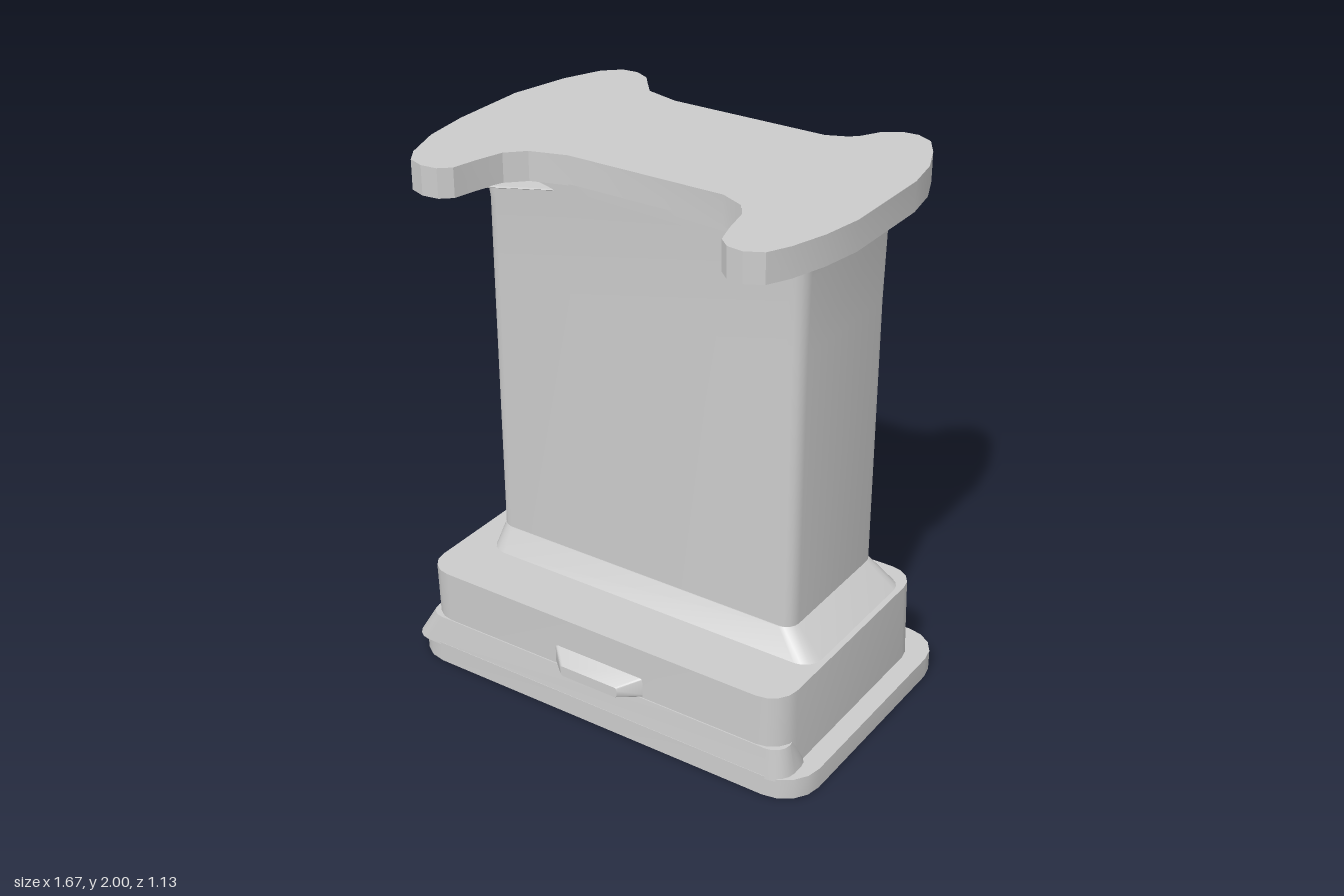
import * as THREE from 'three';
import { toCreasedNormals } from 'three/addons/utils/BufferGeometryUtils.js';

const CORNER_STEPS = 4;

// Rounded rectangle ring at height y, counter-clockwise seen from above
function ring({ y, x, z, r }) {
  const [x0, x1] = x, [z0, z1] = z;
  const corners = [
    [x1 - r, z1 - r, 3], [x1 - r, z0 + r, 0], [x0 + r, z0 + r, 1], [x0 + r, z1 - r, 2],
  ];
  const points = [];
  for (const [cx, cz, quarter] of corners) {
    for (let i = 0; i <= CORNER_STEPS; i++) {
      const a = (quarter + i / CORNER_STEPS) * Math.PI / 2;
      points.push([cx + r * Math.cos(a), y, cz - r * Math.sin(a)]);
    }
  }
  return points;
}

// Closed solid through a stack of rounded rectangles
function loft(sections) {
  const rings = sections.map(ring);
  const n = rings[0].length;
  const positions = rings.flat(2);
  const index = [];
  for (let s = 0; s < rings.length - 1; s++) {
    for (let i = 0; i < n; i++) {
      const a = s * n + i, b = s * n + (i + 1) % n;
      index.push(a, b, b + n, a, b + n, a + n);
    }
  }
  const top = (rings.length - 1) * n;
  for (let i = 1; i < n - 1; i++) {
    index.push(0, i + 1, i, top, top + i, top + i + 1);
  }
  const geometry = new THREE.BufferGeometry();
  geometry.setAttribute('position', new THREE.Float32BufferAttribute(positions, 3));
  geometry.setIndex(index);
  return toCreasedNormals(geometry, 0.45);
}

export function createModel() {
  const model = new THREE.Group();
  const material = new THREE.MeshStandardMaterial({ color: 0xcccccc });
  const add = (name, geometry) => {
    const mesh = new THREE.Mesh(geometry, material);
    mesh.name = name;
    model.add(mesh);
    return mesh;
  };

  // Floor plate
  add('basePlate', loft([
    { y: 0, x: [-0.84, 0.835], z: [-0.53, 0.515], r: 0.14 },
    { y: 0.08, x: [-0.84, 0.835], z: [-0.53, 0.515], r: 0.14 },
  ]));

  // Plinth box, with a flared foot along the front
  add('plinth', loft([
    { y: 0.07, x: [-0.755, 0.76], z: [-0.45, 0.5], r: 0.1 },
    { y: 0.39, x: [-0.76, 0.755], z: [-0.44, 0.505], r: 0.1 },
  ]));
  add('frontFlare', loft([
    { y: 0.07, x: [-0.835, 0.78], z: [0.33, 0.514], r: 0.07 },
    { y: 0.19, x: [-0.76, 0.757], z: [0.38, 0.506], r: 0.06 },
  ]));

  // Sloping skirt between plinth and column
  add('skirt', loft([
    { y: 0.385, x: [-0.65, 0.74], z: [-0.375, 0.28], r: 0.07 },
    { y: 0.475, x: [-0.63, 0.62], z: [-0.35, 0.225], r: 0.05 },
  ]));

  // Column, widening slightly under the top
  add('column', loft([
    { y: 0.46, x: [-0.63, 0.62], z: [-0.35, 0.222], r: 0.05 },
    { y: 1.5, x: [-0.63, 0.62], z: [-0.352, 0.225], r: 0.05 },
    { y: 1.77, x: [-0.63, 0.625], z: [-0.355, 0.225], r: 0.05 },
    { y: 1.86, x: [-0.64, 0.635], z: [-0.365, 0.23], r: 0.05 },
    { y: 1.9, x: [-0.65, 0.645], z: [-0.385, 0.23], r: 0.05 },
  ]));

  // Top plate with four rounded horns, outlined as x, z
  const outline = [
    [-0.78, 0.15], [-0.76, 0.33], [-0.71, 0.48], [-0.67, 0.54], [-0.61, 0.562],
    [-0.55, 0.555], [-0.51, 0.52], [-0.49, 0.43], [-0.46, 0.33], [-0.4, 0.27],
    [-0.27, 0.23], [0.33, 0.23], [0.42, 0.27], [0.46, 0.33], [0.485, 0.44],
    [0.51, 0.52], [0.55, 0.555], [0.61, 0.562], [0.67, 0.53], [0.71, 0.45],
    [0.75, 0.32], [0.775, 0.17], [0.775, -0.2], [0.75, -0.34], [0.7, -0.46],
    [0.65, -0.54], [0.59, -0.57], [0.53, -0.565], [0.47, -0.52], [0.43, -0.45],
    [0.4, -0.425], [0.33, -0.395], [-0.27, -0.395], [-0.4, -0.43], [-0.45, -0.49],
    [-0.49, -0.54], [-0.55, -0.57], [-0.61, -0.565], [-0.67, -0.51], [-0.73, -0.37],
    [-0.78, -0.15],
  ];
  const shape = new THREE.Shape(outline.map(([x, z]) => new THREE.Vector2(x, -z)));
  const topGeometry = new THREE.ExtrudeGeometry(shape, { depth: 0.105, bevelEnabled: false });
  topGeometry.rotateX(-Math.PI / 2).translate(0, 1.895, 0);
  add('topPlate', toCreasedNormals(topGeometry, 0.45));

  // Thickened undersides running out to the horns
  for (const side of [-1, 1]) {
    const span = (inner, outer) => [side * inner, side * outer].sort((a, b) => a - b);
    add(side < 0 ? 'rightHornSupport' : 'leftHornSupport', loft([
      { y: 1.86, x: span(0.3, 0.63), z: [-0.36, 0.225], r: 0.05 },
      { y: 1.9, x: span(0.48, 0.72), z: [-0.46, 0.44], r: 0.08 },
    ]));
  }

  // Small lip on the front, tapering outwards
  const lip = loft([
    { y: 0, x: [-0.19, 0.21], z: [-0.275, -0.19], r: 0.01 },
    { y: 0.075, x: [-0.11, 0.13], z: [-0.24, -0.2], r: 0.01 },
  ]);
  lip.rotateX(Math.PI / 2).translate(0, 0, 0.49);
  add('frontLip', lip);

  // Lip rotation maps its height to +z and its depth to -y
  return model;
}
